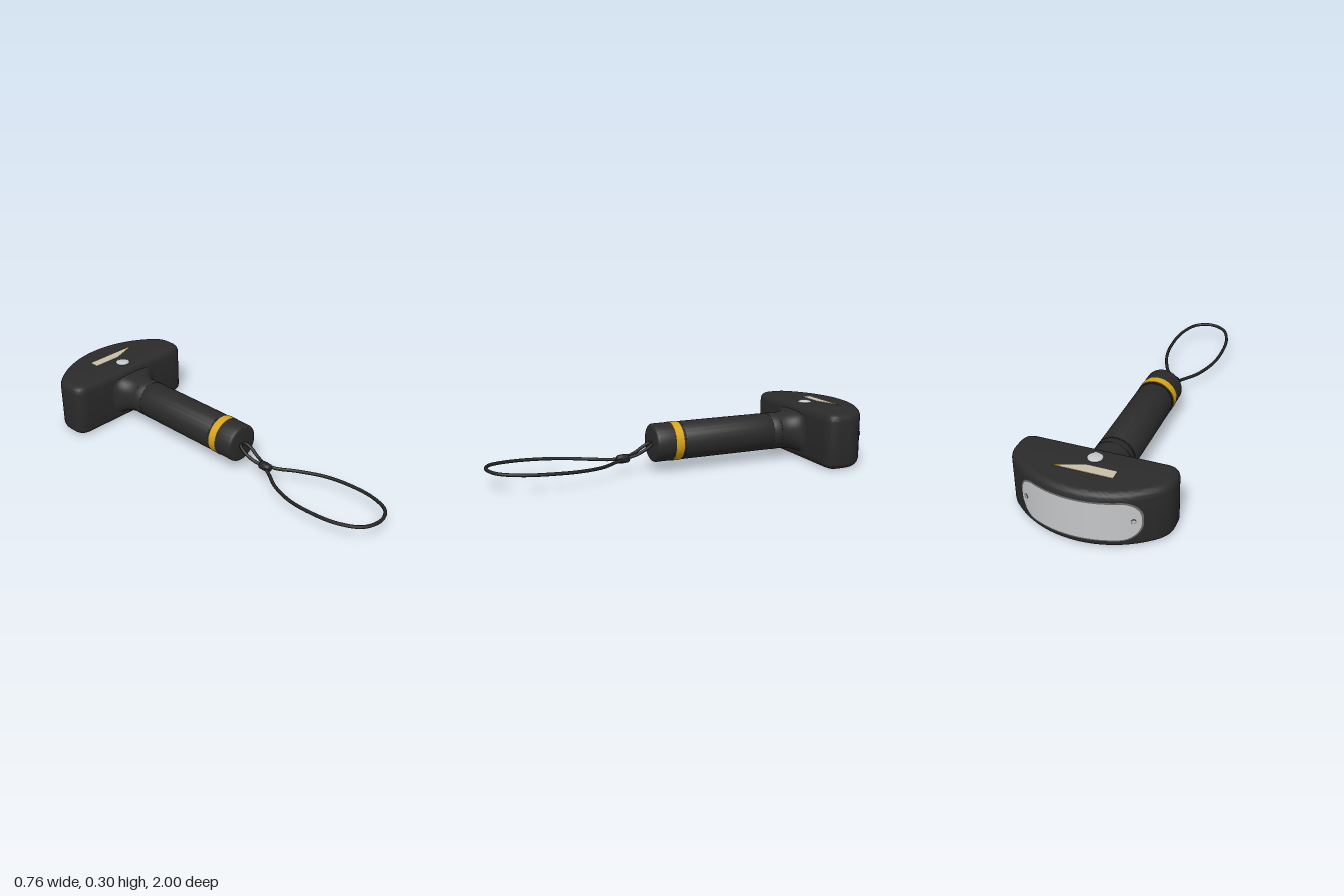
import * as THREE from 'three';
import { toCreasedNormals } from 'three/addons/utils/BufferGeometryUtils.js';

const mat = (name, color, side = THREE.FrontSide) => {
  const m = new THREE.MeshStandardMaterial({ color, side });
  m.name = name;
  return m;
};

const AXIS_Y = 0.146;   // height of the handle axis
const ARC_Z = -0.5;     // centre of the curved back
const ARC_R = 0.496;    // radius of the curved back

export function createModel() {
  const group = new THREE.Group();
  const black = mat('black plastic', 0x2b2b2b);
  const cord = mat('cord', 0x242424);
  const gold = mat('gold', 0xd9a514);
  const silver = mat('silver', 0xc4c6c8);
  const grey = mat('dark grey metal', 0x6a6a6a);
  const cream = mat('cream', 0xcabfa8);

  const add = (name, geometry, material, x = 0, y = 0, z = 0) => {
    const mesh = new THREE.Mesh(geometry, material);
    mesh.name = name;
    mesh.position.set(x, y, z);
    group.add(mesh);
    return mesh;
  };

  // Head: D-shaped outline with rounded edges, extruded upward
  const s = new THREE.Shape();
  const cornerX = 0.33, cornerS = Math.sqrt(ARC_R ** 2 - cornerX ** 2);
  const a = Math.atan2(cornerS, cornerX);
  s.moveTo(-0.31, 0.663);
  s.lineTo(0.31, 0.663);
  s.quadraticCurveTo(0.382, 0.663, 0.382, 0.735);
  s.lineTo(0.382, 0.77);
  s.quadraticCurveTo(0.382, 0.825, cornerX, cornerS - ARC_Z);
  s.absarc(0, -ARC_Z, ARC_R, a, Math.PI - a, false);
  s.quadraticCurveTo(-0.382, 0.825, -0.382, 0.77);
  s.lineTo(-0.382, 0.735);
  s.quadraticCurveTo(-0.382, 0.663, -0.31, 0.663);
  const bevel = 0.038;
  const headGeo = new THREE.ExtrudeGeometry(s, {
    depth: 0.288 - 2 * bevel, curveSegments: 24, bevelEnabled: true,
    bevelSize: bevel, bevelThickness: bevel, bevelOffset: -bevel, bevelSegments: 7,
  });
  headGeo.rotateX(-Math.PI / 2);
  add('head', toCreasedNormals(headGeo, 0.6), black, 0, bevel, 0);

  // Curved rounded panels lying on the back arc
  const panel = (w, h, r, lift) => {
    const g = new THREE.PlaneGeometry(2, 2, 64, 1);
    const p = g.attributes.position;
    for (let i = 0; i < p.count; i++) {
      const x = w * Math.sin(p.getX(i) * Math.PI / 2);
      const over = Math.max(0, Math.abs(x) - (w - r));
      const half = h - r + Math.sqrt(Math.max(0, r * r - over * over));
      const R = ARC_R + lift;
      p.setXYZ(i, -x, AXIS_Y + half * p.getY(i), ARC_Z - Math.sqrt(R * R - x * x));
    }
    g.computeVertexNormals();
    return g;
  };
  add('lensRim', panel(0.288, 0.103, 0.09, 0.002), grey);
  add('lens', panel(0.281, 0.096, 0.084, 0.004), silver);

  // Screws at both ends of the lens
  for (const side of [-1, 1]) {
    const t = side * 0.525, R = ARC_R + 0.004;
    const x = R * Math.sin(t), z = ARC_Z - R * Math.cos(t);
    for (const [name, r, len, m] of [['screwRing', 0.012, 0.003, grey], ['screwHead', 0.009, 0.005, silver]]) {
      const g = new THREE.CylinderGeometry(r, r, len, 20);
      g.rotateX(Math.PI / 2);
      add(name, g, m, x, AXIS_Y, z).rotation.y = -t;
    }
  }

  // Button dome on top
  const dome = new THREE.SphereGeometry(0.036, 28, 10, 0, Math.PI * 2, 0, Math.PI / 2);
  dome.scale(1, 0.28, 1);
  add('button', dome, silver, 0, 0.288, -0.745);

  // Tapered badge plate with a gold tip
  const plate = (points) => {
    const shape = new THREE.Shape(points.map(([x, z]) => new THREE.Vector2(x, -z)));
    const g = new THREE.ExtrudeGeometry(shape, { depth: 0.003, bevelEnabled: false });
    return g.rotateX(-Math.PI / 2);
  };
  add('badge', plate([[-0.13, -0.81], [0.02, -0.81], [0.115, -0.845], [0.115, -0.86], [-0.13, -0.86]]), cream, 0, 0.287, 0);
  add('badgeTip', plate([[0.115, -0.845], [0.155, -0.86], [0.115, -0.86]]), gold, 0, 0.287, 0);

  // Neck: circle blending into a wide rounded rectangle at the head
  const neck = new THREE.CylinderGeometry(1, 1, 1, 64, 14, true);
  const np = neck.attributes.position;
  const spow = (v, e) => Math.sign(v) * Math.abs(v) ** e;
  for (let i = 0; i < np.count; i++) {
    const t = 0.5 - np.getY(i);
    const flare = 1 - Math.sqrt(Math.max(0, 1 - t * t));
    const e = 1 - 0.5 * t * t;
    const x = (0.097 + 0.07 * flare) * spow(np.getX(i), e);
    const y = (0.097 + 0.014 * flare) * spow(-np.getZ(i), e);
    np.setXYZ(i, x, AXIS_Y + y, -0.555 - 0.113 * t);
  }
  neck.computeVertexNormals();
  add('neck', neck, black);

  // Turned handle parts, profile as [radius, z]
  const turned = (name, profile, material) => {
    const g = new THREE.LatheGeometry(profile.map(([r, z]) => new THREE.Vector2(r, z)), 56);
    g.rotateX(Math.PI / 2);
    add(name, toCreasedNormals(g, 0.7), material, 0, AXIS_Y, 0);
  };
  turned('collar', [[0.094, -0.56], [0.099, -0.555], [0.099, -0.522], [0.094, -0.515], [0.093, -0.5]], black);
  turned('grip', [[0.09, -0.512], [0.095, -0.51], [0.098, -0.503], [0.098, -0.008], [0.095, -0.001], [0.09, 0]], black);
  turned('gripGroove', [[0.094, -0.01], [0.094, 0.02]], black);
  turned('goldBand', [[0.09, 0.013], [0.1, 0.013], [0.1, 0.056], [0.09, 0.056]], gold);
  turned('bandEdge', [[0.09, 0.002], [0.098, 0.002], [0.098, 0.013]], black);
  turned('endCap', [[0.098, 0.05], [0.098, 0.142], [0.0955, 0.149], [0.089, 0.154], [0.08, 0.156], [0, 0.156]], black);

  // Wrist strap: mirrored half path closed into one loop
  const half = [
    [0.018, 0.143, 0.16], [0.026, 0.125, 0.19], [0.02, 0.098, 0.24], [0.01, 0.082, 0.3],
    [0.03, 0.074, 0.355], [0.085, 0.071, 0.44], [0.135, 0.077, 0.57], [0.15, 0.084, 0.7],
    [0.137, 0.091, 0.85], [0.085, 0.097, 0.957],
  ];
  const path = [
    [0, 0.15, 0.148], ...half, [0, 0.1, 0.99],
    ...half.slice().reverse().map(([x, y, z]) => [-x, y, z]),
  ].map((p) => new THREE.Vector3(...p));
  const curve = new THREE.CatmullRomCurve3(path, true, 'centripetal');
  add('wristStrap', new THREE.TubeGeometry(curve, 200, 0.0085, 10, true), cord);

  // Knot holding the strap together
  const knot = new THREE.LatheGeometry(
    [[0, -0.034], [0.014, -0.034], [0.021, -0.026], [0.023, 0], [0.021, 0.026], [0.014, 0.034], [0, 0.034]]
      .map(([r, z]) => new THREE.Vector2(r, z)), 20);
  knot.rotateX(Math.PI / 2);
  add('strapKnot', toCreasedNormals(knot, 0.9), cord, 0, 0.08, 0.308);

  return group;
}
